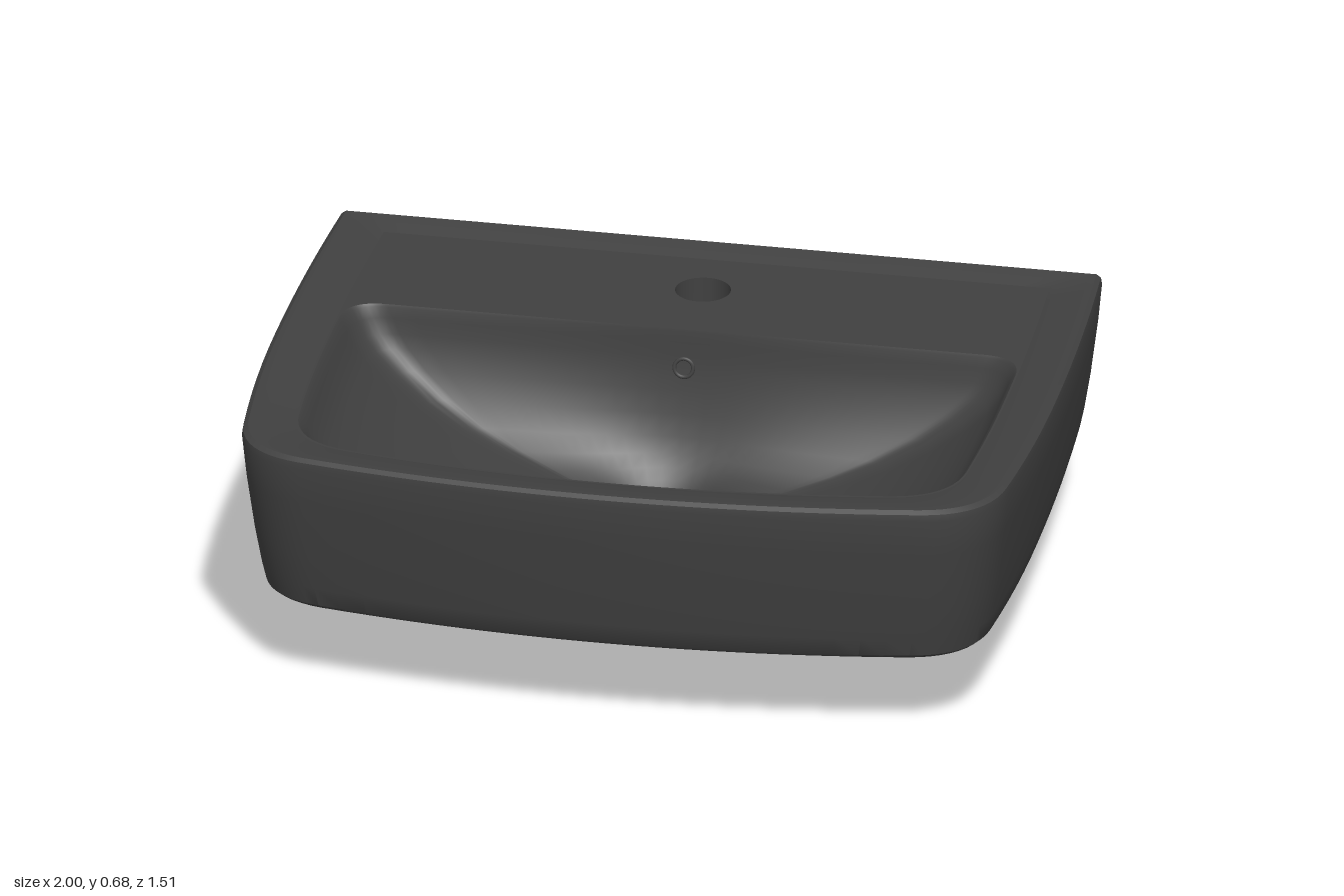
import * as THREE from 'three';
import { toCreasedNormals } from 'three/addons/utils/BufferGeometryUtils.js';

const BACK = -0.757, DRAIN_Z = -0.02, TAP_Z = -0.52, DECK_Y = 0.655;
const V2 = (x, z) => new THREE.Vector2(x, z);
const at = (pts, y) => pts.map((p) => new THREE.Vector3(p.x, y, p.y));

// Plan outline (x, z): bulging sides, rounded front corners, bowed front.
// A closed outline also runs along the straight back, with corner radius rb.
function outline(w, zf, { zb = BACK, closed = false, rb = 0 } = {}) {
  const bow = 0.11 * w, r = 0.18 * w;
  const sideX = (z) => w - (z > 0 ? 0.1 : 0.05) * w * z * z;
  const frontZ = (x) => zf - bow * (x / w) ** 2;
  const zc = zf - bow - r * 0.9;
  const half = [];
  const corner = (a, c, b) => half.push(...new THREE.QuadraticBezierCurve(a, c, b).getPoints(10).slice(1));
  if (closed) {
    const xe = sideX(zb) - rb;
    for (let i = 0; i < 12; i++) half.push(V2((xe * i) / 12, zb));
    if (rb) {
      half.push(V2(xe, zb));
      corner(V2(xe, zb), V2(sideX(zb), zb), V2(sideX(zb + rb), zb + rb));
    }
  }
  for (let i = rb ? 1 : 0; i <= 14; i++) {
    const z = zb + rb + ((zc - zb - rb) * i) / 14;
    half.push(V2(sideX(z), z));
  }
  const xs = sideX(zc), xe = xs - r;
  corner(V2(xs, zc), V2(xs - 0.015 * w, frontZ(xs - 0.015 * w)), V2(xe, frontZ(xe)));
  for (let i = 1; i <= 12; i++) {
    const x = xe * (1 - i / 12);
    half.push(V2(x, frontZ(x)));
  }
  const mirrored = half.slice(closed ? 1 : 0, -1).reverse().map((p) => V2(-p.x, p.y));
  return [...half, ...mirrored];
}

// Skin a list of matching cross-sections.
function loft(rings, closed, crease = 0.6) {
  const n = rings[0].length, pos = [], idx = [];
  rings.forEach((ring) => ring.forEach((p) => pos.push(p.x, p.y, p.z)));
  for (let j = 0; j < rings.length - 1; j++) {
    for (let i = 0; i < (closed ? n : n - 1); i++) {
      const a = j * n + i, b = j * n + ((i + 1) % n);
      idx.push(a, a + n, b, b, a + n, b + n);
    }
  }
  const g = new THREE.BufferGeometry();
  g.setAttribute('position', new THREE.Float32BufferAttribute(pos, 3));
  g.setIndex(idx);
  return toCreasedNormals(g, crease);
}

const circle = (r, z) => new THREE.Path().absarc(0, z, r, 0, Math.PI * 2).getPoints(24).slice(0, -1);

// Flat sheet with holes, in its own xy plane.
function sheet(points, holes = []) {
  const s = new THREE.Shape(points);
  s.holes = holes.map((h) => new THREE.Path(h));
  return new THREE.ShapeGeometry(s);
}
const level = (points, holes, y) => sheet(points, holes).rotateX(Math.PI / 2).translate(0, y, 0);

export function createModel() {
  const group = new THREE.Group();
  const ceramic = new THREE.MeshStandardMaterial({ color: 0x404040, side: THREE.DoubleSide });
  ceramic.name = 'dark ceramic';
  const add = (name, geometry) => {
    const m = new THREE.Mesh(geometry, ceramic);
    m.name = name;
    group.add(m);
    return m;
  };

  // Outer walls, lower lip, underside and collar: [half width, front z, y]
  const profile = [
    [0.985, 0.743, 0.675], [0.997, 0.755, 0.667], [1, 0.757, 0.65], [0.99, 0.747, 0.55],
    [0.97, 0.727, 0.4], [0.953, 0.71, 0.3], [0.942, 0.7, 0.25], [0.932, 0.69, 0.24],
    [0.9, 0.66, 0.238], [0.885, 0.645, 0.25], [0.87, 0.63, 0.28], [0.8, 0.56, 0.275],
    [0.72, 0.46, 0.25], [0.695, 0.43, 0.238], [0.67, 0.375, 0.17], [0.65, 0.34, 0.125],
    [0.635, 0.325, 0.115], [0.58, 0.28, 0.115], [0.55, 0.26, 0.13], [0.47, 0.235, 0.22],
    [0.42, 0.22, 0.265],
  ];
  const shell = profile.map(([w, zf, y]) => at(outline(w, zf), y));
  add('outerShell', loft(shell, false));

  // Underside panel inside the collar
  add('undersidePanel', level(outline(0.42, 0.22), [circle(0.07, TAP_Z), circle(0.18, DRAIN_Z)], 0.265));

  // Wall-side back plate follows the ends of the shell, with two fixing slots
  const edge = shell.map((ring) => V2(ring[0].x, ring[0].y));
  const backPoints = [...edge, ...edge.slice().reverse().map((p) => V2(-p.x, p.y))];
  const slots = [-0.4, 0.4].map((x) => new THREE.Path()
    .absarc(x + 0.045, 0.485, 0.038, -Math.PI / 2, Math.PI / 2)
    .absarc(x - 0.045, 0.485, 0.038, Math.PI / 2, Math.PI * 1.5).getPoints(10));
  add('backPlate', sheet(backPoints, slots).translate(0, 0, BACK));
  slots.forEach((s) => {
    const depth = BACK + 0.1;
    add('fixingSlot', loft([BACK, depth].map((z) => s.map((p) => new THREE.Vector3(p.x, p.y, z))), true));
    add('fixingSlotEnd', sheet(s).translate(0, 0, depth));
  });

  // Rim sloping gently in to the deck
  add('rim', loft([
    at(outline(0.985, 0.743, { closed: true }), 0.675),
    at(outline(0.965, 0.725, { closed: true, zb: BACK + 0.006 }), 0.674),
    at(outline(0.88, 0.645, { closed: true, zb: -0.705 }), 0.658),
    at(outline(0.87, 0.635, { closed: true, zb: -0.695 }), DECK_Y),
  ], true));

  // Tap deck with bowl opening and tap hole
  const opening = outline(0.865, 0.628, { closed: true, zb: -0.285, rb: 0.1 });
  add('tapDeck', level(outline(0.87, 0.635, { closed: true, zb: -0.695 }), [opening, circle(0.07, TAP_Z)], DECK_Y));
  add('tapHole', loft([DECK_Y, 0.265].map((y) => at(circle(0.07, TAP_Z), y)), true));

  // Bowl narrows from the opening to a circle around the drain: [blend, y]
  const bowl = [
    [0, 0.655], [0.01, 0.648], [0.03, 0.62], [0.06, 0.58], [0.1, 0.545], [0.18, 0.495], [0.3, 0.435],
    [0.45, 0.38], [0.6, 0.34], [0.75, 0.31], [0.9, 0.283], [1, 0.26],
  ].map(([t, y]) => at(opening.map((p) => {
    const a = Math.atan2(p.y - DRAIN_Z, p.x);
    return p.clone().lerp(V2(0.15 * Math.cos(a), DRAIN_Z + 0.15 * Math.sin(a)), t);
  }), y));
  add('bowl', loft(bowl, true, 0.8));

  // Overflow opening on the back wall of the bowl
  const overflow = add('overflowRing', new THREE.TorusGeometry(0.024, 0.005, 8, 24));
  overflow.position.set(0, 0.555, -0.27);
  overflow.rotation.x = -0.15;

  // Drain funnel and outlet
  const drainProfile = [
    [0.18, 0.27], [0.17, 0.2], [0.147, 0.15], [0.14, 0.11], [0.14, 0.01], [0.132, 0],
    [0.1, 0], [0.091, 0.01], [0.091, 0.205], [0.105, 0.225], [0.15, 0.26],
  ].map(([r, y]) => V2(r, y));
  add('drainOutlet', toCreasedNormals(new THREE.LatheGeometry(drainProfile, 48), 0.8)).position.z = DRAIN_Z;

  // Overflow channel rising behind the outlet
  const channel = new THREE.CatmullRomCurve3([
    [0.125, -0.13], [0.125, -0.2], [0.155, -0.27], [0.23, -0.33], [0.32, -0.36],
  ].map(([y, z]) => new THREE.Vector3(0, y, z)));
  add('overflowChannel', new THREE.TubeGeometry(channel, 24, 0.08, 20));

  return group;
}
